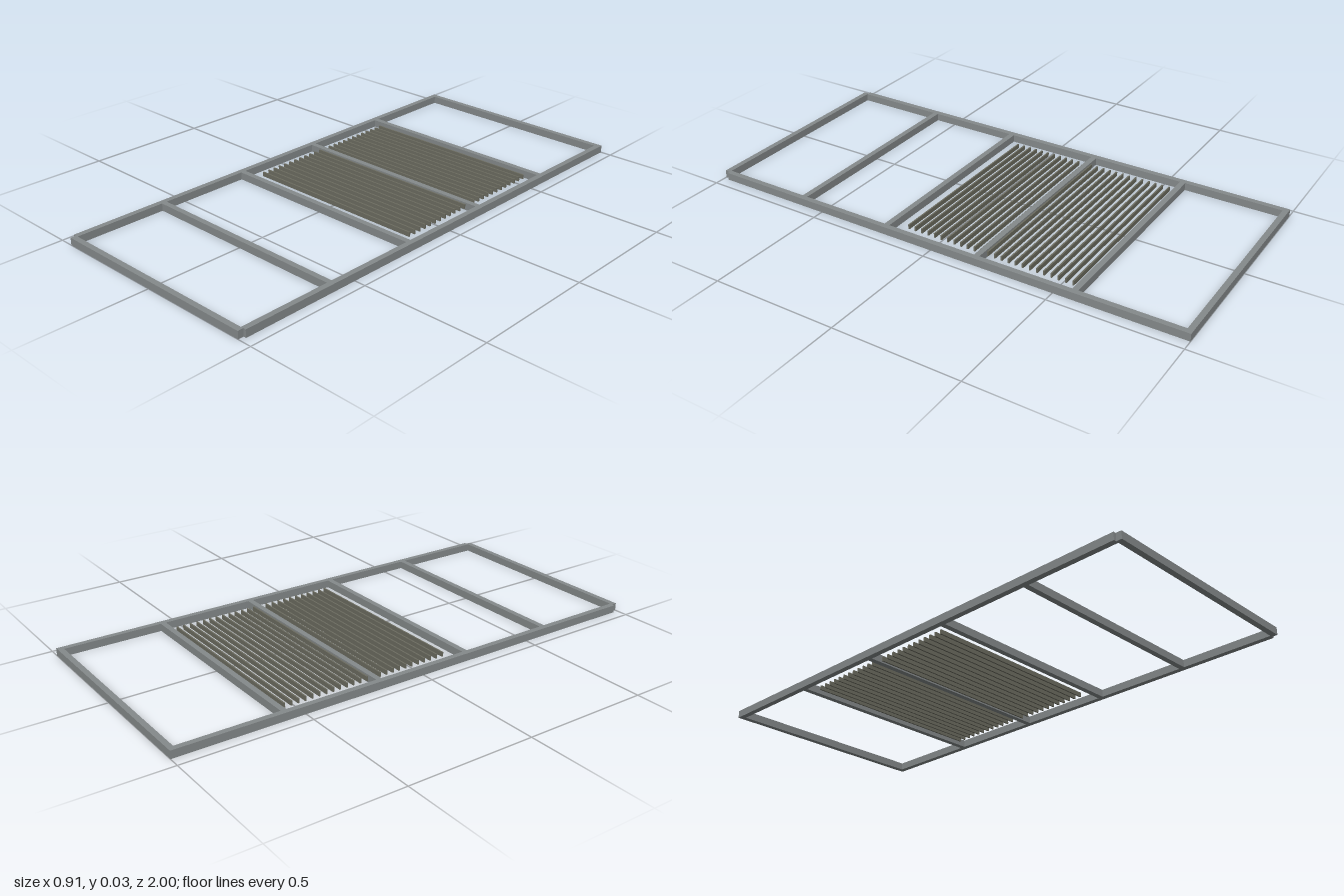
import * as THREE from 'three';

const WIDTH = 0.91, LENGTH = 2, HEIGHT = 0.03, BAR = 0.022;

export function createModel() {
  const group = new THREE.Group();
  const steel = new THREE.MeshStandardMaterial({ color: 0x858a8b });
  const dark = new THREE.MeshStandardMaterial({ color: 0x6c6c60 });

  function box(name, w, h, d, x, z, material) {
    const mesh = new THREE.Mesh(new THREE.BoxGeometry(w, h, d), material);
    mesh.name = name;
    mesh.position.set(x, HEIGHT / 2, z);
    group.add(mesh);
  }

  // Side rails, stopping short behind the front bar
  for (const [side, name] of [[1, 'leftRail'], [-1, 'rightRail']]) {
    box(name, BAR, HEIGHT, LENGTH - BAR, side * (WIDTH - BAR) / 2, -BAR / 2, steel);
  }

  // Cross bars, reaching to the middle of each rail
  const end = (LENGTH - BAR) / 2;
  const barLength = WIDTH - BAR;
  box('backBar', barLength, HEIGHT, BAR, 0, -end, steel);
  for (let i = 0; i < 5; i++) {
    box(i === 0 ? 'frontBar' : 'crossBar' + i, barLength, HEIGHT, BAR, 0, end - i * 0.391, steel);
  }

  // Row of thin upright slats across two bays
  const slats = 25, first = -0.541, last = 0.144;
  for (let i = 0; i < slats; i++) {
    const z = first + (last - first) * i / (slats - 1);
    box('slat' + (i + 1), 0.77, 0.018, 0.006, 0, z, dark);
  }

  return group;
}
